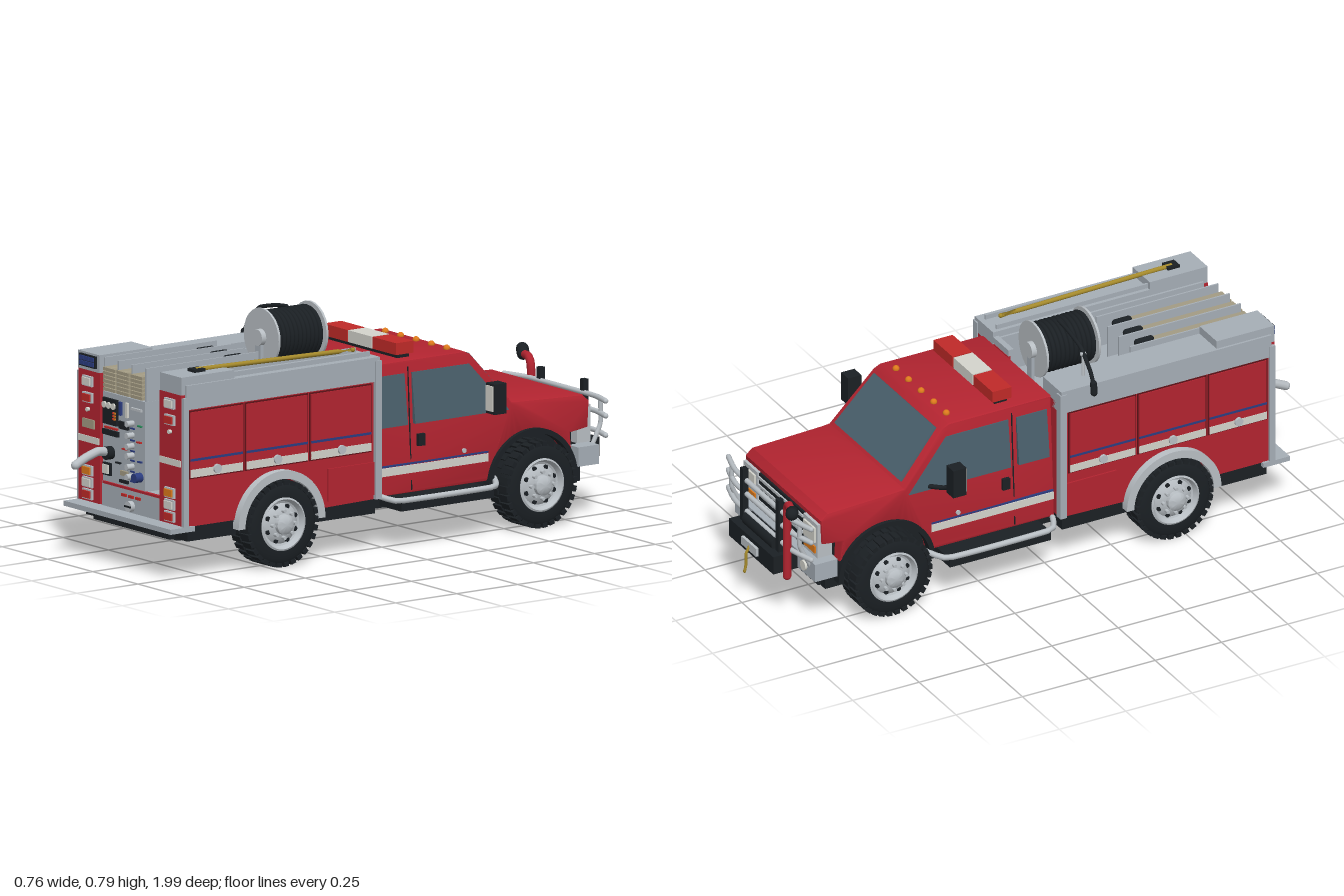
import * as THREE from 'three';
import { toCreasedNormals } from 'three/addons/utils/BufferGeometryUtils.js';

const paint = (c) => new THREE.MeshStandardMaterial({ color: c });
const M = {
  red: paint(0xb32430), grey: paint(0xa6aeb6), dark: paint(0x1b2024), glass: paint(0x4a606c),
  white: paint(0xd4d4cc), hose: paint(0xa39b83), silver: paint(0xb9bfc4), amber: paint(0xdd7a1c),
  blue: paint(0x2c3d80), lamp: paint(0xc02a28), brass: paint(0xa58a2c), green: paint(0x2a8a5a), gap: paint(0x5e1218),
};
const V = (a) => new THREE.Vector3(...a);

function add(parent, name, geo, mat) {
  const mesh = new THREE.Mesh(geo, mat);
  mesh.name = name;
  parent.add(mesh);
  return mesh;
}
// Box given by its limits on each axis
function box(parent, name, mat, x0, x1, y0, y1, z0, z1) {
  const g = new THREE.BoxGeometry(x1 - x0, y1 - y0, z1 - z0);
  g.translate((x0 + x1) / 2, (y0 + y1) / 2, (z0 + z1) / 2);
  return add(parent, name, g, mat);
}
function tube(parent, name, mat, pts, r, tension = 0.2) {
  const c = new THREE.CatmullRomCurve3(pts.map(V), false, 'catmullrom', tension);
  const m = add(parent, name, new THREE.TubeGeometry(c, pts.length * 5, r, 10), mat);
  for (const p of [pts[0], pts[pts.length - 1]]) add(m, name + 'End', new THREE.SphereGeometry(r, 10, 6), mat).position.set(...p);
  return m;
}
function disc(parent, name, mat, r, depth, x, y, z, axis = 'z', r2 = r) {
  const g = new THREE.CylinderGeometry(r, r2, depth, 24);
  if (axis === 'z') g.rotateX(Math.PI / 2);
  if (axis === 'x') g.rotateZ(-Math.PI / 2);
  return add(parent, name, g.translate(x, y, z), mat);
}
// Side profile in (forward, up) extruded from x0 to x1; the cab leans inward above the belt line
function profile(parent, name, mat, shape, x0, x1, lean = false, bevel = 0) {
  if (Array.isArray(shape)) shape = new THREE.Shape(shape.map((p) => new THREE.Vector2(...p)));
  const g = new THREE.ExtrudeGeometry(shape, {
    depth: x1 - x0 - 2 * bevel, bevelEnabled: bevel > 0, bevelSize: bevel, bevelThickness: bevel,
    bevelOffset: -bevel, bevelSegments: 2, curveSegments: 24,
  });
  g.translate(0, 0, x0 + bevel).rotateY(Math.PI / 2);
  if (lean) {
    const p = g.attributes.position;
    for (let i = 0; i < p.count; i++) p.setX(i, p.getX(i) * (1 - 0.09 * THREE.MathUtils.clamp((p.getY(i) - 0.4) / 0.2, 0, 1)));
    g.computeVertexNormals();
  }
  return add(parent, name, toCreasedNormals(g, 0.6), mat);
}
function archRing(u, ro, ri) {
  const s = new THREE.Shape();
  s.absarc(u, 0.145, ro, 0, Math.PI, false);
  s.absarc(u, 0.145, ri, Math.PI, 0, true);
  return s;
}
function bodyWithArch(before, u, r, after) {
  const s = new THREE.Shape(before.map((p) => new THREE.Vector2(...p)));
  s.absarc(u, 0.145, r, Math.PI - 0.15, 0.15, true);
  after.forEach((p) => s.lineTo(...p));
  return s;
}

function makeWheel(name) {
  const w = new THREE.Group();
  w.name = name;
  const lathe = (n, mat, pts) => add(w, n, toCreasedNormals(new THREE.LatheGeometry(pts.map((p) => new THREE.Vector2(...p)), 40).rotateZ(-Math.PI / 2), 0.7), mat);
  lathe('tire', M.dark, [[0.05, -0.05], [0.12, -0.05], [0.135, -0.042], [0.139, -0.03], [0.139, 0.03], [0.135, 0.042], [0.12, 0.05], [0.088, 0.048], [0.084, 0.02]]);
  for (let i = 0; i < 30; i++) for (const s of [-1, 1]) {
    const t = box(w, 'tread', M.dark, s > 0 ? 0.003 : -0.048, s > 0 ? 0.048 : -0.003, 0.13, 0.145, -0.0095, 0.0095);
    t.rotation.x = ((i + (s > 0 ? 0.5 : 0)) / 30) * Math.PI * 2;
  }
  lathe('rim', M.silver, [[0.088, 0.02], [0.09, 0.05], [0.084, 0.053], [0.075, 0.035], [0.068, 0.032], [0.05, 0.045], [0.034, 0.048], [0.033, 0.062], [0.022, 0.07], [0, 0.072]]);
  for (let i = 0; i < 8; i++) {
    const a = (i / 8) * Math.PI * 2;
    disc(w, 'lugNut', M.silver, 0.006, 0.02, 0.05, Math.cos(a) * 0.045, Math.sin(a) * 0.045, 'x');
    const b = a + Math.PI / 8;
    disc(w, 'rimHole', M.dark, 0.008, 0.006, 0.038, Math.cos(b) * 0.06, Math.sin(b) * 0.06, 'x');
  }
  return w;
}

function buildCab(g) {
  const shell = bodyWithArch([[-0.035, 0.17], [0.432, 0.17]], 0.605, 0.172,
    [[0.768, 0.29], [0.84, 0.3], [0.845, 0.39], [0.82, 0.412], [0.56, 0.422], [0.53, 0.425], [0.375, 0.6], [0.35, 0.612], [-0.035, 0.612]]);
  profile(g, 'cabShell', M.red, shell, -0.258, 0.258, true, 0.008);
  profile(g, 'windshield', M.glass, [[0.523, 0.436], [0.383, 0.594], [0.388, 0.598], [0.528, 0.44]], -0.228, 0.228, true);
  profile(g, 'sideWindowRear', M.glass, [[-0.015, 0.4], [0.1, 0.4], [0.1, 0.57], [-0.015, 0.57]], -0.26, 0.26, true);
  profile(g, 'sideWindowFront', M.glass, [[0.13, 0.4], [0.515, 0.4], [0.365, 0.57], [0.13, 0.57]], -0.26, 0.26, true);
  profile(g, 'doorGap', M.dark, [[0.114, 0.18], [0.118, 0.18], [0.118, 0.59], [0.114, 0.59]], -0.2595, 0.2595, true);
  box(g, 'cabStripe', M.white, -0.26, 0.26, 0.237, 0.264, -0.43, 0.03);
  box(g, 'cabStripeLine', M.blue, -0.2595, 0.2595, 0.266, 0.272, -0.43, 0.03);
  box(g, 'engineBay', M.dark, -0.215, 0.215, 0.16, 0.34, -0.82, 0.04);
  // Light bar and roof markers
  for (const [x0, x1, m] of [[-0.2, -0.07, M.lamp], [-0.065, 0.065, M.white], [0.07, 0.2, M.lamp]]) box(g, 'lightBar', m, x0, x1, 0.625, 0.665, -0.167, -0.095);
  box(g, 'lightBarBase', M.dark, -0.19, 0.19, 0.608, 0.627, -0.155, -0.107);
  for (let i = -2; i <= 2; i++) add(g, 'roofMarker', new THREE.SphereGeometry(0.012, 12, 8), M.amber).position.set(i * 0.085, 0.615, -0.325);
  // Grille, headlights, bumper and winch
  box(g, 'grille', M.dark, -0.15, 0.15, 0.25, 0.375, -0.852, -0.8);
  for (let i = 0; i < 4; i++) box(g, 'grilleBar', M.silver, -0.15, 0.15, 0.265 + i * 0.03, 0.275 + i * 0.03, -0.857, -0.84);
  box(g, 'bumper', M.grey, -0.27, 0.27, 0.175, 0.24, -0.875, -0.79);
  box(g, 'bumperValance', M.dark, -0.24, 0.24, 0.12, 0.18, -0.82, -0.75);
  box(g, 'winchTray', M.dark, -0.15, 0.15, 0.17, 0.235, -0.965, -0.87);
  disc(g, 'winchDrum', M.dark, 0.025, 0.2, 0, 0.25, -0.92, 'x');
  box(g, 'winchGuide', M.silver, -0.05, 0.05, 0.19, 0.22, -0.975, -0.96);
  tube(g, 'winchHook', M.brass, [[0, 0.205, -0.972], [0, 0.18, -0.985], [0, 0.14, -0.985], [0, 0.115, -0.99], [0.01, 0.11, -0.985]], 0.005);
  for (const y of [0.27, 0.335, 0.385]) tube(g, 'guardRail', M.silver, [[-0.28, y, -0.895], [-0.18, y, -0.92], [0.18, y, -0.92], [0.28, y, -0.895]], 0.009);
  for (const s of [-1, 1]) {
    const side = (a, b) => (s > 0 ? [a, b] : [-b, -a]);
    box(g, 'headlightFrame', M.silver, ...side(0.155, 0.25), 0.25, 0.375, -0.855, -0.8);
    box(g, 'headlight', M.white, ...side(0.165, 0.24), 0.305, 0.36, -0.862, -0.84);
    box(g, 'turnSignal', M.amber, ...side(0.165, 0.24), 0.265, 0.29, -0.86, -0.84);
    disc(g, 'fogLight', M.white, 0.018, 0.01, s * 0.2, 0.207, -0.878);
    box(g, 'guardUpright', M.dark, ...side(0.11, 0.13), 0.2, 0.43, -0.935, -0.915);
    tube(g, 'guardBrace', M.silver, [[s * 0.23, 0.2, -0.86], [s * 0.23, 0.3, -0.91], [s * 0.23, 0.385, -0.91]], 0.008);
    profile(g, 'frontArch', M.dark, archRing(0.605, 0.182, 0.165), ...side(0.24, 0.272));
    // Mirror, handles and running board
    box(g, 'mirrorBody', M.dark, ...side(0.332, 0.38), 0.42, 0.522, -0.415, -0.365);
    box(g, 'mirrorGlass', M.white, ...side(0.337, 0.375), 0.43, 0.515, -0.367, -0.361);
    tube(g, 'mirrorArm', M.dark, [[s * 0.25, 0.41, -0.44], [s * 0.3, 0.42, -0.41], [s * 0.345, 0.44, -0.39]], 0.008);
    box(g, 'doorHandle', M.dark, ...side(0.255, 0.268), 0.325, 0.365, -0.165, -0.138);
    disc(g, 'fuelCap', M.silver, 0.008, 0.01, s * 0.258, 0.285, -0.33, 'x');
    box(g, 'runningBoard', M.dark, ...side(0.2, 0.33), 0.13, 0.162, -0.4, -0.02);
    tube(g, 'stepRail', M.silver, [[s * 0.25, 0.175, -0.46], [s * 0.325, 0.165, -0.4], [s * 0.325, 0.165, -0.02], [s * 0.27, 0.175, 0.02]], 0.01);
  }
  // Front water nozzle
  tube(g, 'monitorPipe', M.red, [[-0.18, 0.17, -0.93], [-0.18, 0.42, -0.93], [-0.2, 0.45, -0.935], [-0.25, 0.45, -0.95]], 0.014);
  tube(g, 'monitorNozzle', M.dark, [[-0.25, 0.45, -0.95], [-0.275, 0.46, -0.965]], 0.022);
}

function buildSideBox(g, s) {
  const side = (a, b) => (s > 0 ? [a, b] : [-b, -a]);
  const b = (n, m, x0, x1, ...r) => box(g, n, m, ...side(x0, x1), ...r);
  const body = bodyWithArch([[-0.835, 0.175], [-0.62, 0.175]], -0.455, 0.165, [[-0.04, 0.175], [-0.04, 0.6], [-0.835, 0.6]]);
  profile(g, 'sideLocker', M.red, body, ...side(0.165, 0.285));
  b('lockerTop', M.grey, 0.168, 0.293, 0.57, 0.652, 0.04, 0.832);
  b('lockerTopRear', M.grey, 0.168, 0.285, 0.62, 0.68, 0.63, 0.848);
  b('lockerInnerWall', M.grey, 0.16, 0.168, 0.25, 0.63, 0.045, 0.83);
  b('rearColumn', M.red, 0.165, 0.283, 0.18, 0.62, 0.83, 0.848);
  b('cornerPost', M.grey, 0.28, 0.295, 0.175, 0.61, 0.825, 0.845);
  b('frontPost', M.grey, 0.27, 0.297, 0.175, 0.64, 0.035, 0.06);
  profile(g, 'rearFender', M.silver, archRing(-0.455, 0.178, 0.15), ...side(0.27, 0.312));
  // Locker doors with seams, stripe and latches
  for (const [z0, z1] of [[0.6, 0.815], [0.335, 0.585], [0.075, 0.32]]) {
    b('doorSeam', M.gap, 0.28, 0.287, 0.335, 0.565, z0 - 0.005, z1 + 0.005);
    b('lockerDoor', M.red, 0.28, 0.291, 0.34, 0.56, z0, z1);
    b('doorStripe', M.white, 0.29, 0.2925, 0.34, 0.367, z0, z1);
    b('doorStripeLine', M.blue, 0.29, 0.2925, 0.395, 0.403, z0, z1);
    disc(g, 'doorLatch', M.silver, 0.015, 0.012, s * 0.294, 0.36, (z0 + z1) / 2, 'x');
  }
  b('lowerDoor', M.red, 0.28, 0.291, 0.19, 0.3, 0.06, 0.25);
  b('sill', M.dark, 0.2, 0.28, 0.125, 0.175, 0.05, 0.29);
  b('rearSill', M.dark, 0.2, 0.28, 0.125, 0.175, 0.62, 0.82);
  for (const [y, m] of [[0.585, M.white], [0.53, M.lamp], [0.285, M.amber], [0.245, M.white], [0.205, M.lamp]]) {
    b('tailLightFrame', M.silver, 0.2, 0.252, y - 0.017, y + 0.017, 0.845, 0.856);
    b('tailLight', m, 0.205, 0.247, y - 0.012, y + 0.012, 0.85, 0.862);
  }
  disc(g, 'markerDot', M.white, 0.007, 0.012, s * 0.226, 0.49, 0.852);
  b('rearStripe', M.white, 0.168, 0.283, 0.378, 0.4, 0.84, 0.851);
}

function buildPumpPanel(g) {
  box(g, 'pumpBox', M.grey, -0.165, 0.068, 0.24, 0.56, 0.045, 0.835);
  box(g, 'panelTrim', M.red, -0.16, 0.165, 0.252, 0.26, 0.83, 0.842);
  box(g, 'rearStepRiser', M.grey, -0.165, 0.165, 0.175, 0.258, 0.045, 0.84);
  box(g, 'walkwayEndWall', M.red, 0.068, 0.165, 0.25, 0.61, 0.04, 0.05);
  box(g, 'walkwayEndRail', M.grey, 0.065, 0.168, 0.612, 0.635, 0.04, 0.06);
  box(g, 'gaugeBoard', M.dark, -0.156, -0.079, 0.455, 0.542, 0.83, 0.845);
  for (const x of [-0.143, -0.118, -0.093]) disc(g, 'gauge', M.white, 0.011, 0.01, x, 0.52, 0.845);
  for (let i = 0; i < 6; i++) box(g, 'switch', i % 2 ? M.amber : M.lamp, -0.095 + (i % 2) * 0.009, -0.089 + (i % 2) * 0.009, 0.475 + (i >> 1) * 0.01, 0.481 + (i >> 1) * 0.01, 0.84, 0.85);
  // Labels, plates and valve controls: [material, centre x, centre y, width, height]
  for (const [m, x, y, w, h] of [[M.dark, -0.118, 0.427, 0.085, 0.018], [M.lamp, -0.115, 0.443, 0.07, 0.006], [M.blue, -0.064, 0.517, 0.012, 0.045],
    [M.white, -0.028, 0.517, 0.012, 0.05], [M.dark, -0.045, 0.463, 0.05, 0.025], [M.lamp, -0.152, 0.35, 0.018, 0.025], [M.dark, -0.137, 0.303, 0.042, 0.042],
    [M.hose, -0.043, 0.303, 0.035, 0.016], [M.dark, -0.043, 0.275, 0.045, 0.01], [M.silver, 0.025, 0.528, 0.055, 0.008], [M.green, 0.043, 0.475, 0.022, 0.005],
    [M.blue, 0.043, 0.355, 0.022, 0.005], [M.lamp, 0.04, 0.42, 0.022, 0.005], [M.lamp, -0.04, 0.385, 0.022, 0.005], [M.dark, -0.075, 0.333, 0.025, 0.005]]) box(g, 'panelPlate', m, x - w / 2, x + w / 2, y - h / 2, y + h / 2, 0.83, 0.843);
  box(g, 'inletPlate', M.white, -0.152, -0.122, 0.288, 0.318, 0.84, 0.848);
  for (const y of [0.478, 0.438, 0.402, 0.37, 0.333, 0.3]) {
    disc(g, 'valveKnob', M.silver, 0.01, 0.03, 0, y, 0.848);
    box(g, 'valveLabel', M.blue, -0.011, 0.011, y - 0.02, y - 0.015, 0.83, 0.839);
  }
  disc(g, 'blueCap', M.blue, 0.016, 0.03, 0.042, 0.303, 0.848);
  disc(g, 'dischargeFlange', M.dark, 0.022, 0.03, -0.12, 0.36, 0.845);
  tube(g, 'dischargePipe', M.silver, [[-0.12, 0.365, 0.85], [-0.12, 0.37, 0.89], [-0.12, 0.355, 0.94], [-0.12, 0.335, 0.982]], 0.015);
  for (const x of [-0.038, 0, 0.038]) box(g, 'stepLight', M.lamp, x - 0.013, x + 0.013, 0.227, 0.236, 0.835, 0.846);
  disc(g, 'towEye', M.silver, 0.018, 0.02, 0, 0.2, 0.846);
  box(g, 'towEyeBar', M.dark, -0.017, 0.017, 0.197, 0.203, 0.85, 0.858);
  box(g, 'tailBoard', M.grey, -0.295, 0.295, 0.16, 0.177, 0.8, 0.9);
}

function buildHoseBed(g) {
  // Three folded hose stacks between divider plates
  for (const x of [-0.125, -0.05, 0.025]) {
    for (let i = 0; i < 6; i++) tube(g, 'hoseFold', M.hose, [[x, 0.57 + i * 0.0135, 0.44], [x, 0.57 + i * 0.0135, 0.832]], 0.007).scale.set(1, 1, 1);
    for (let i = 0; i < 6; i++) box(g, 'hoseLayer', M.hose, x - 0.033, x + 0.033, 0.564 + i * 0.0135, 0.575 + i * 0.0135, 0.44, 0.84);
    tube(g, 'hoseNozzle', M.dark, [[x, 0.655, 0.42], [x, 0.655, 0.47]], 0.012);
  }
  for (const x of [-0.164, -0.088, -0.012, 0.064]) box(g, 'hoseDivider', M.grey, x - 0.003, x + 0.003, 0.55, 0.672, 0.37, 0.83);
  // Hose reel with wound hose
  const cx = -0.05, cy = 0.69;
  disc(g, 'reelDrum', M.dark, 0.07, 0.18, cx, cy, 0.17);
  for (let i = 0; i < 11; i++) add(g, 'reelHose', new THREE.TorusGeometry(0.079, 0.009, 8, 32), M.dark).position.set(cx, cy, 0.088 + i * 0.0165);
  for (const z of [0.072, 0.268]) disc(g, 'reelFlange', M.silver, 0.097, 0.008, cx, cy, z);
  for (const z of [0.06, 0.28]) {
    disc(g, 'reelHub', M.silver, 0.028, 0.02, cx, cy, z);
    box(g, 'reelStand', M.grey, cx - 0.015, cx + 0.015, 0.55, cy, z - 0.006, z + 0.006);
  }
  tube(g, 'reelLine', M.dark, [[-0.06, 0.778, 0.16], [-0.12, 0.772, 0.16], [-0.21, 0.75, 0.16], [-0.275, 0.69, 0.16], [-0.297, 0.65, 0.16]], 0.007);
  tube(g, 'reelLineNozzle', M.dark, [[-0.295, 0.655, 0.16], [-0.299, 0.622, 0.16]], 0.012);
  disc(g, 'lineGuidePost', M.silver, 0.006, 0.08, -0.225, 0.69, 0.16, 'y');
  add(g, 'lineGuideBall', new THREE.SphereGeometry(0.011, 12, 8), M.silver).position.set(-0.225, 0.732, 0.16);
  // Pike pole, warning light and plates
  tube(g, 'pikePole', M.brass, [[0.225, 0.672, 0.1], [0.225, 0.685, 0.74]], 0.008);
  box(g, 'poleClip', M.dark, 0.207, 0.247, 0.675, 0.69, 0.72, 0.765);
  for (const x of [0.185, 0.26]) box(g, 'poleTrayRail', M.grey, x - 0.004, x + 0.004, 0.645, 0.668, 0.06, 0.63);
  box(g, 'warningLight', M.dark, -0.272, -0.182, 0.632, 0.673, 0.845, 0.855);
  for (let i = 0; i < 6; i++) box(g, 'warningLens', M.blue, -0.267 + (i % 3) * 0.027, -0.243 + (i % 3) * 0.027, 0.637 + (i > 2) * 0.017, 0.651 + (i > 2) * 0.017, 0.85, 0.859);
  box(g, 'rearPlate', M.hose, -0.258, -0.193, 0.427, 0.457, 0.845, 0.853);
}

export function createModel() {
  const model = new THREE.Group();
  const part = (name) => { const g = new THREE.Group(); g.name = name; model.add(g); return g; };
  box(model, 'underbody', M.dark, -0.21, 0.21, 0.122, 0.165, -0.83, 0.84);
  box(model, 'rearWheelWell', M.dark, -0.2, 0.2, 0.16, 0.3, 0.28, 0.63).scale.y = 0.8;
  buildCab(part('cab'));
  buildSideBox(part('leftLocker'), 1);
  buildSideBox(part('rightLocker'), -1);
  buildPumpPanel(part('pumpPanel'));
  buildHoseBed(part('hoseBed'));
  for (const [z, n] of [[-0.605, 'frontWheel'], [0.455, 'rearWheel']]) for (const s of [-1, 1]) {
    const w = makeWheel(n);
    w.position.set(s * 0.27, 0.145, z);
    if (s < 0) w.rotation.y = Math.PI;
    model.add(w);
    disc(model, n + 'Axle', M.dark, 0.03, 0.08, s * 0.21, 0.145, z, 'x');
  }
  return model;
}
